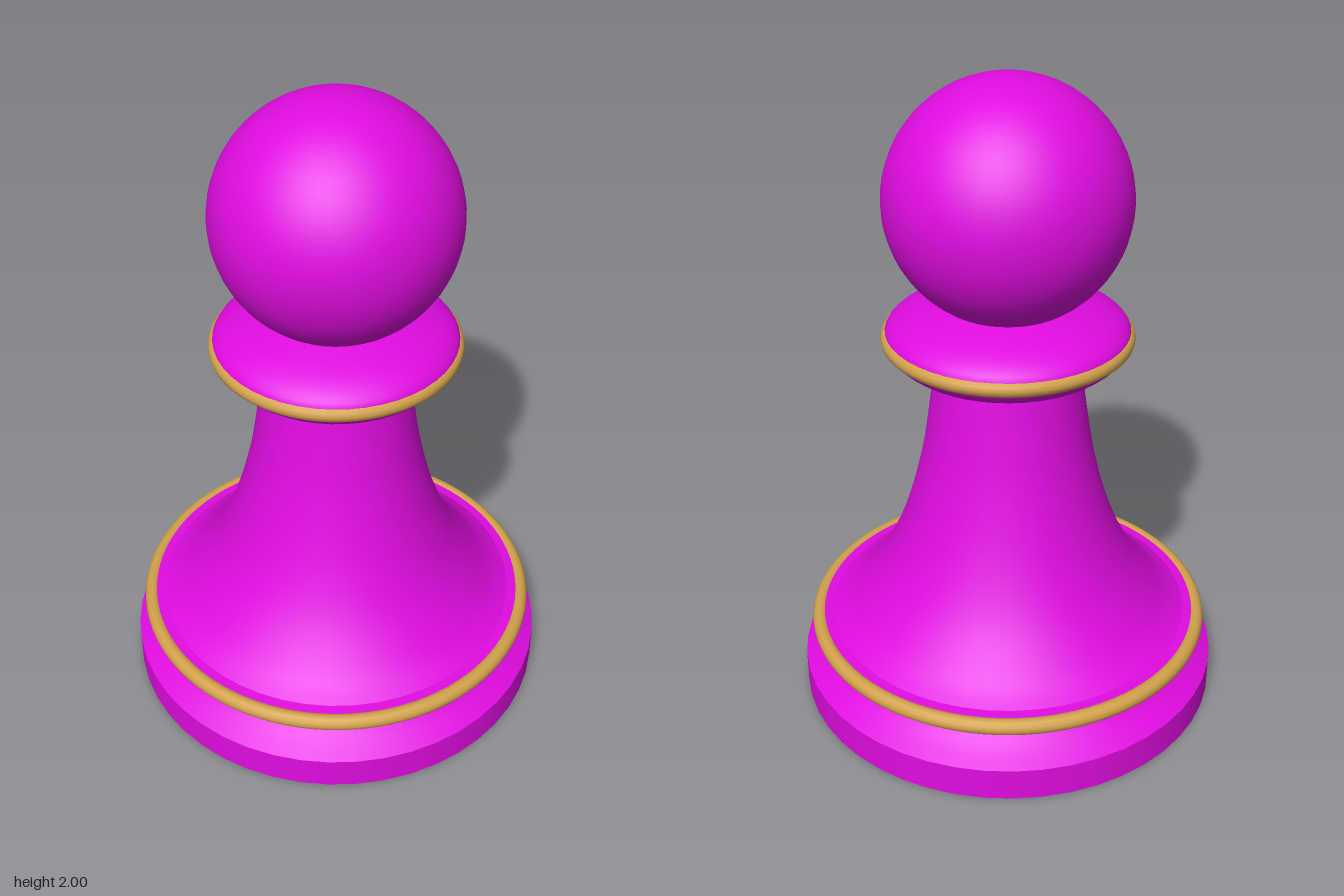
import * as THREE from 'three';

const SEGMENTS = 48;

export function createModel() {
  const group = new THREE.Group();
  const magenta = new THREE.MeshStandardMaterial({ name: 'magenta', color: 0xe00ce0 });
  const gold = new THREE.MeshStandardMaterial({ name: 'gold', color: 0xd2a24c });

  function add(name, geometry, material, y = 0) {
    const mesh = new THREE.Mesh(geometry, material);
    mesh.name = name;
    mesh.position.y = y;
    group.add(mesh);
    return mesh;
  }
  // Turned part from [radius, height] pairs, listed bottom to top
  function turned(name, profile) {
    const points = profile.map(([r, y]) => new THREE.Vector2(r, y));
    return add(name, new THREE.LatheGeometry(points, SEGMENTS), magenta);
  }
  // Same, with a smooth curve drawn through the pairs
  function turnedCurve(name, profile, steps) {
    const curve = new THREE.SplineCurve(profile.map(([r, y]) => new THREE.Vector2(r, y)));
    return turned(name, curve.getPoints(steps).map((p) => [p.x, p.y]));
  }
  function ring(name, radius, tube, y) {
    const geometry = new THREE.TorusGeometry(radius, tube, 12, SEGMENTS * 2);
    geometry.rotateX(Math.PI / 2);
    add(name, geometry, gold, y);
  }

  // Base, in separate pieces so its edges stay sharp
  turned('baseUnderside', [[0, 0], [0.665, 0]]);
  turned('baseRim', [[0.665, 0], [0.665, 0.105]]);
  turnedCurve('baseShoulder', [[0.665, 0.105], [0.61, 0.14], [0.575, 0.172]], 6);
  turnedCurve('baseLip', [[0.575, 0.172], [0.585, 0.19], [0.61, 0.21]], 4);
  turned('baseTop', [[0.61, 0.25], [0.55, 0.255]]);
  ring('baseRing', 0.612, 0.025, 0.23);

  // Flared stem
  turnedCurve('stem', [
    [0.575, 0.25], [0.5, 0.305], [0.4, 0.435], [0.325, 0.6],
    [0.27, 0.8], [0.24, 0.98], [0.222, 1.13],
  ], 28);

  // Collar
  turned('collarUnderside', [[0.2, 1.114], [0.228, 1.114]]);
  turnedCurve('collar', [
    [0.228, 1.114], [0.31, 1.145], [0.355, 1.18], [0.37, 1.215],
    [0.355, 1.255], [0.29, 1.293], [0.18, 1.325],
  ], 20);
  turned('collarTop', [[0.18, 1.325], [0, 1.325]]);
  ring('collarRing', 0.355, 0.025, 1.215);

  // Head
  add('head', new THREE.SphereGeometry(0.364, SEGMENTS, 32), magenta, 1.636);

  return group;
}
